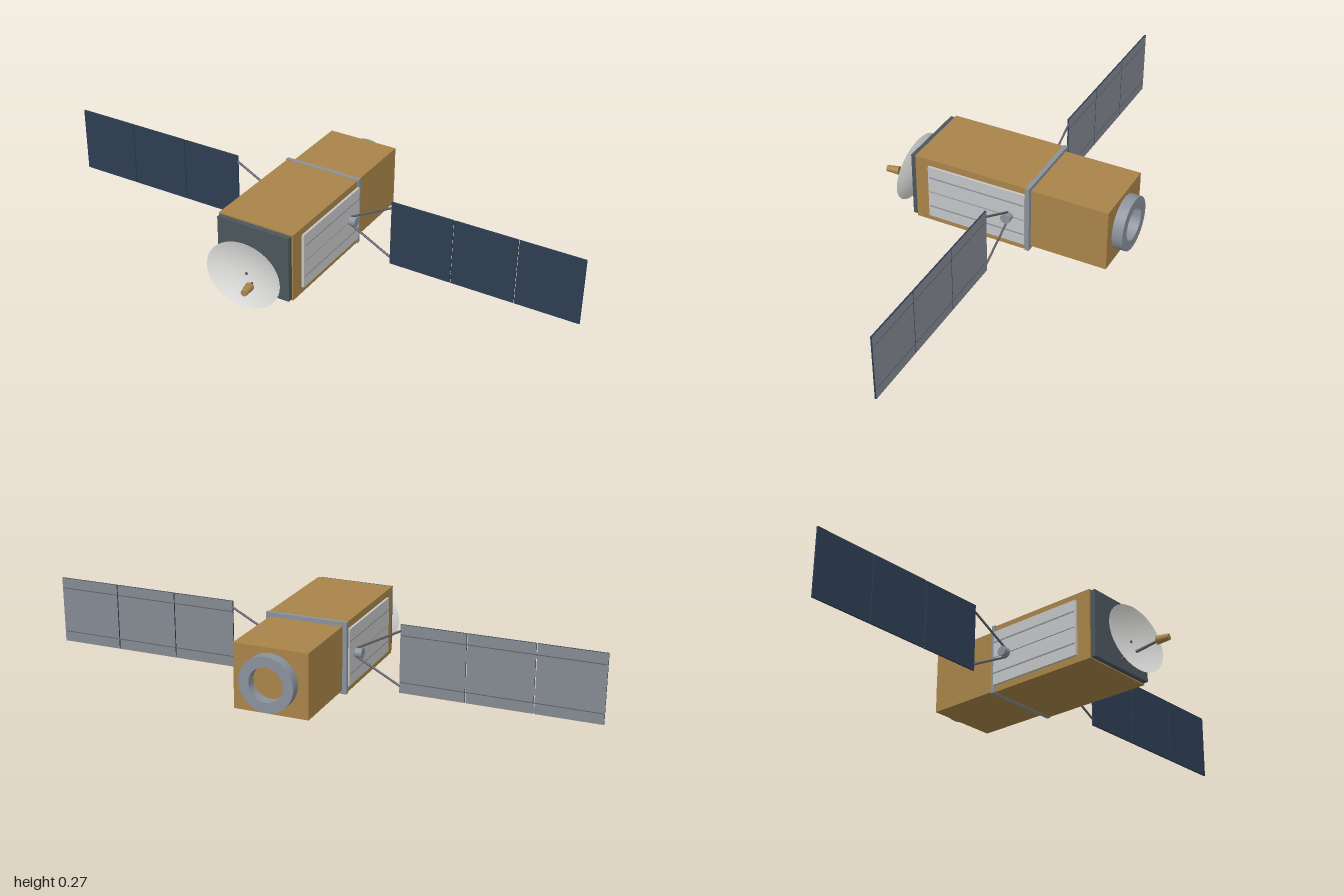
import * as THREE from 'three';
import { toCreasedNormals } from 'three/addons/utils/BufferGeometryUtils.js';

const mat = (name, color, side = THREE.FrontSide) => {
  const m = new THREE.MeshStandardMaterial({ color, side });
  m.name = name;
  return m;
};

export function createModel() {
  const model = new THREE.Group();
  model.name = 'satellite';
  const gold = mat('gold foil', 0xa98449);
  const slate = mat('dark slate', 0x4b565c);
  const navy = mat('solar navy', 0x2d3d52);
  const backing = mat('panel backing grey', 0x858a93);
  const silver = mat('radiator silver', 0xc4c5c6);
  const white = mat('dish white', 0xdededc, THREE.DoubleSide);
  const metal = mat('metal grey', 0x8a929c);
  const strutGrey = mat('strut grey', 0x5b6067);
  const CY = 0.152;

  const add = (name, geometry, material, parent = model) => {
    const mesh = new THREE.Mesh(geometry, material);
    mesh.name = name;
    parent.add(mesh);
    return mesh;
  };
  // Box given by its extents on each axis
  const box = (name, [x0, x1], [y0, y1], [z0, z1], material, parent) => {
    const mesh = add(name, new THREE.BoxGeometry(x1 - x0, y1 - y0, z1 - z0), material, parent);
    mesh.position.set((x0 + x1) / 2, (y0 + y1) / 2, (z0 + z1) / 2);
    return mesh;
  };
  // Round bar or cone between two points
  const bar = (name, from, to, r0, r1, material, sides = 12, parent = model) => {
    const a = new THREE.Vector3(...from), b = new THREE.Vector3(...to);
    const d = b.clone().sub(a);
    const mesh = add(name, new THREE.CylinderGeometry(r1, r0, d.length(), sides), material, parent);
    mesh.position.copy(a).add(b).multiplyScalar(0.5);
    mesh.quaternion.setFromUnitVectors(new THREE.Vector3(0, 1, 0), d.normalize());
    return mesh;
  };

  // Body
  box('frontBody', [-0.143, 0.143], [0.026, 0.277], [-0.135, 0.293], gold);
  box('rearBody', [-0.132, 0.132], [0.038, 0.265], [-0.422, -0.135], gold);
  box('bodyBand', [-0.147, 0.147], [0.025, 0.279], [-0.143, -0.128], metal);
  box('frontPlate', [-0.138, 0.138], [0.03, 0.272], [0.293, 0.312], slate);

  // Rear ring
  const ringProfile = [[0.06, 0], [0.096, 0], [0.096, 0.038], [0.06, 0.038], [0.06, 0]]
    .map(([r, y]) => new THREE.Vector2(r, y));
  const ring = add('rearRing', toCreasedNormals(new THREE.LatheGeometry(ringProfile, 40), 0.6), metal);
  ring.rotation.x = -Math.PI / 2;
  ring.position.set(0, CY, -0.422);

  // Side radiators, hubs, struts and solar wings
  const wingZ = -0.068;
  for (const s of [1, -1]) {
    const side = new THREE.Group();
    side.name = s > 0 ? 'leftSide' : 'rightSide';
    model.add(side);
    const span = (a, b) => (s > 0 ? [a, b] : [-b, -a]);

    box('radiator', span(0.143, 0.152), [0.05, 0.252], [-0.128, 0.24], silver, side);
    for (const [y, h] of [[0.21, 0.004], [CY, 0.002], [0.093, 0.004]]) {
      box('radiatorLine', span(0.15, 0.154), [y - h / 2, y + h / 2], [-0.126, 0.235], metal, side);
    }

    bar('wingHub', [s * 0.145, CY, wingZ], [s * 0.176, CY, wingZ], 0.018, 0.018, metal, 20, side);
    for (const v of [1, -1]) {
      bar('wingStrut', [s * 0.155, CY + v * 0.016, wingZ], [s * 0.312, CY + v * 0.099, wingZ],
        0.004, 0.004, strutGrey, 8, side);
    }

    // Three cells, navy in front and on the edges, grey behind
    const pitch = 0.2315;
    for (let i = 0; i < 3; i++) {
      const x0 = 0.309 + i * pitch;
      box('solarPanel', span(x0, x0 + 0.228), [0.031, 0.273], [wingZ - 0.003, wingZ + 0.003],
        [navy, navy, navy, navy, navy, backing], side);
    }
    for (const v of [1, -1]) {
      const y = CY + v * 0.083;
      box('wingRail', span(0.312, 0.997), [y - 0.0015, y + 0.0015], [wingZ - 0.0035, wingZ], strutGrey, side);
    }
  }

  // Oval dish, a shallow bowl opening forwards
  const dish = new THREE.Group();
  dish.name = 'dishAntenna';
  model.add(dish);
  const bowlProfile = [];
  for (let i = 0; i <= 10; i++) {
    const t = i / 10;
    bowlProfile.push(new THREE.Vector2(0.143 * t, 0.024 * (t * t - 1)));
  }
  const bowl = add('dishBowl', new THREE.LatheGeometry(bowlProfile, 48), white, dish);
  bowl.rotation.x = Math.PI / 2;
  bowl.scale.z = 0.82;
  dish.position.set(0, 0.122, 0.374);
  dish.rotation.x = -0.077;

  // Dish support, feed mast and feed horn
  bar('dishSupport', [-0.008, 0.106, 0.31], [0, 0.117, 0.354], 0.005, 0.005, strutGrey);
  bar('feedMast', [0, 0.066, 0.305], [0.054, 0.119, 0.425], 0.005, 0.005, strutGrey);
  bar('feedHorn', [0.055, 0.122, 0.417], [0.062, 0.123, 0.462], 0.0155, 0.011, gold, 20);

  return model;
}
